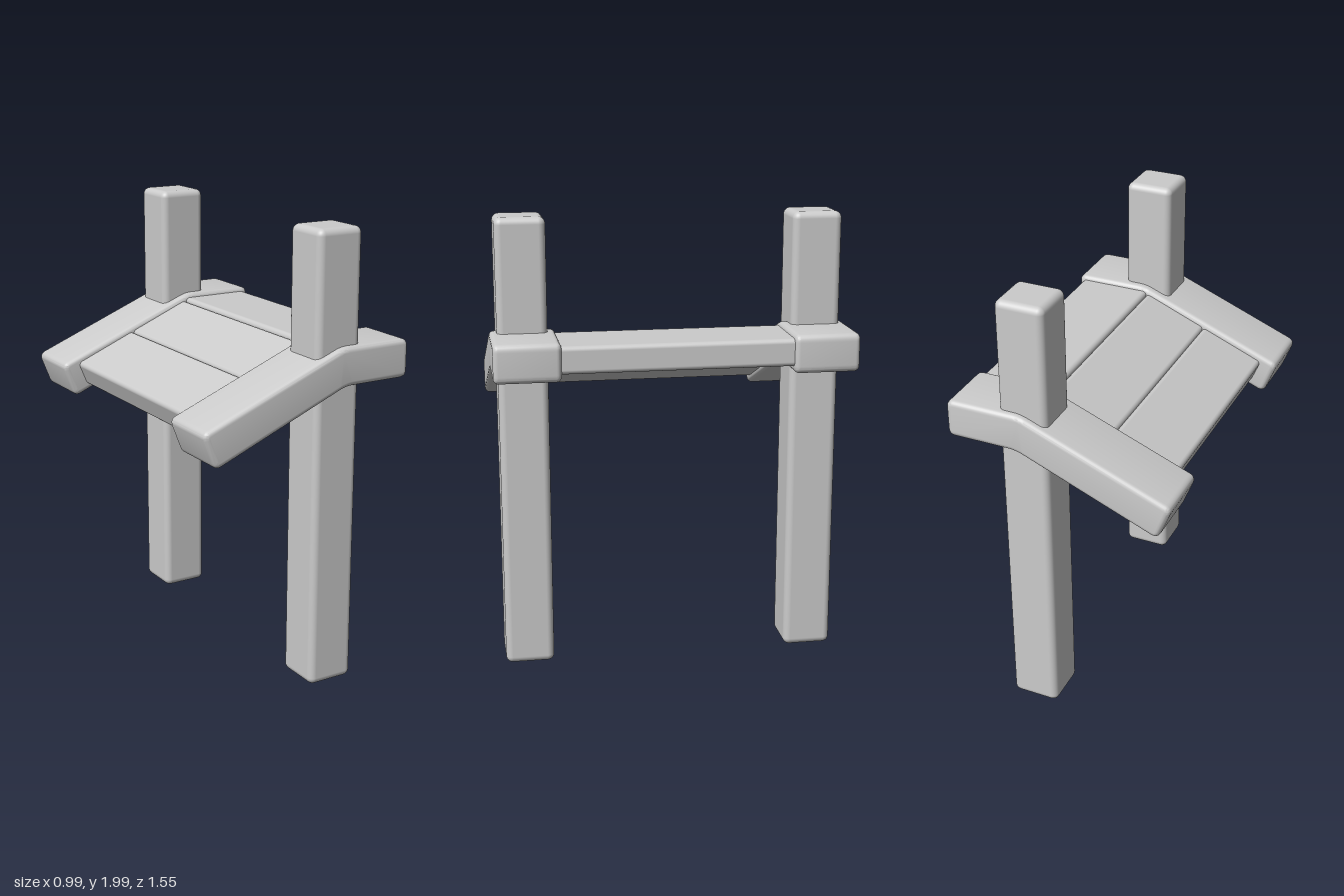
import * as THREE from 'three';
import { RoundedBoxGeometry } from 'three/addons/geometries/RoundedBoxGeometry.js';
import { toCreasedNormals } from 'three/addons/utils/BufferGeometryUtils.js';

const wood = new THREE.MeshStandardMaterial({ color: 0xcccccc });

function beam(name, [w, h, d], [x, y, z], radius, tilt = 0) {
  const mesh = new THREE.Mesh(new RoundedBoxGeometry(w, h, d, 4, radius), wood);
  mesh.name = name;
  mesh.position.set(x, y, z);
  mesh.rotation.z = tilt;
  return mesh;
}

// Closed outline with each corner softened by a small curve
function roundedShape(points, radius) {
  const pts = points.map(([x, y]) => new THREE.Vector2(x, y));
  const shape = new THREE.Shape();
  pts.forEach((p, i) => {
    const towards = (q) => p.clone().add(q.clone().sub(p).setLength(radius));
    const a = towards(pts[(i + pts.length - 1) % pts.length]);
    const b = towards(pts[(i + 1) % pts.length]);
    if (i === 0) shape.moveTo(a.x, a.y);
    else shape.lineTo(a.x, a.y);
    shape.quadraticCurveTo(p.x, p.y, b.x, b.y);
  });
  shape.closePath();
  return shape;
}

// Bent side rail: level over the post, then sloping down
function railGeometry(width) {
  const bevel = 0.022;
  const outline = [[-0.505, 1.243], [-0.444, 1.085], [0.185, 1.343],
    [0.493, 1.343], [0.493, 1.51], [0.165, 1.51]];
  const geometry = new THREE.ExtrudeGeometry(roundedShape(outline, 0.033), {
    depth: width - 2 * bevel,
    bevelThickness: bevel, bevelSize: bevel, bevelOffset: -bevel,
    bevelSegments: 5, curveSegments: 8,
  });
  geometry.translate(0, 0, bevel - width / 2);
  return toCreasedNormals(geometry, 0.36);
}

export function createModel() {
  const group = new THREE.Group();
  const rail = railGeometry(0.282);

  // Posts and rails, one pair per side
  for (const [side, s] of [['front', 1], ['back', -1]]) {
    group.add(beam(side + 'Post', [0.215, 1.99, 0.215], [0.158, 1.002, s * 0.636], 0.03));
    const mesh = new THREE.Mesh(rail, wood);
    mesh.name = side + 'Rail';
    mesh.position.z = s * 0.633;
    group.add(mesh);
  }

  // Level plank, then two planks following the slope
  const thickness = 0.118, span = 1.06;
  group.add(beam('levelPlank', [0.325, thickness, span], [0.312, 1.432, 0], 0.02));
  const tilt = Math.atan(0.412);
  for (let i = 0; i < 2; i++) {
    const x = 0.024 - i * 0.285;
    group.add(beam('slopingPlank' + (i + 1), [0.31, thickness, span],
      [x, 1.428 + (x - 0.172) * 0.412, 0], 0.02, tilt));
  }
  return group;
}
